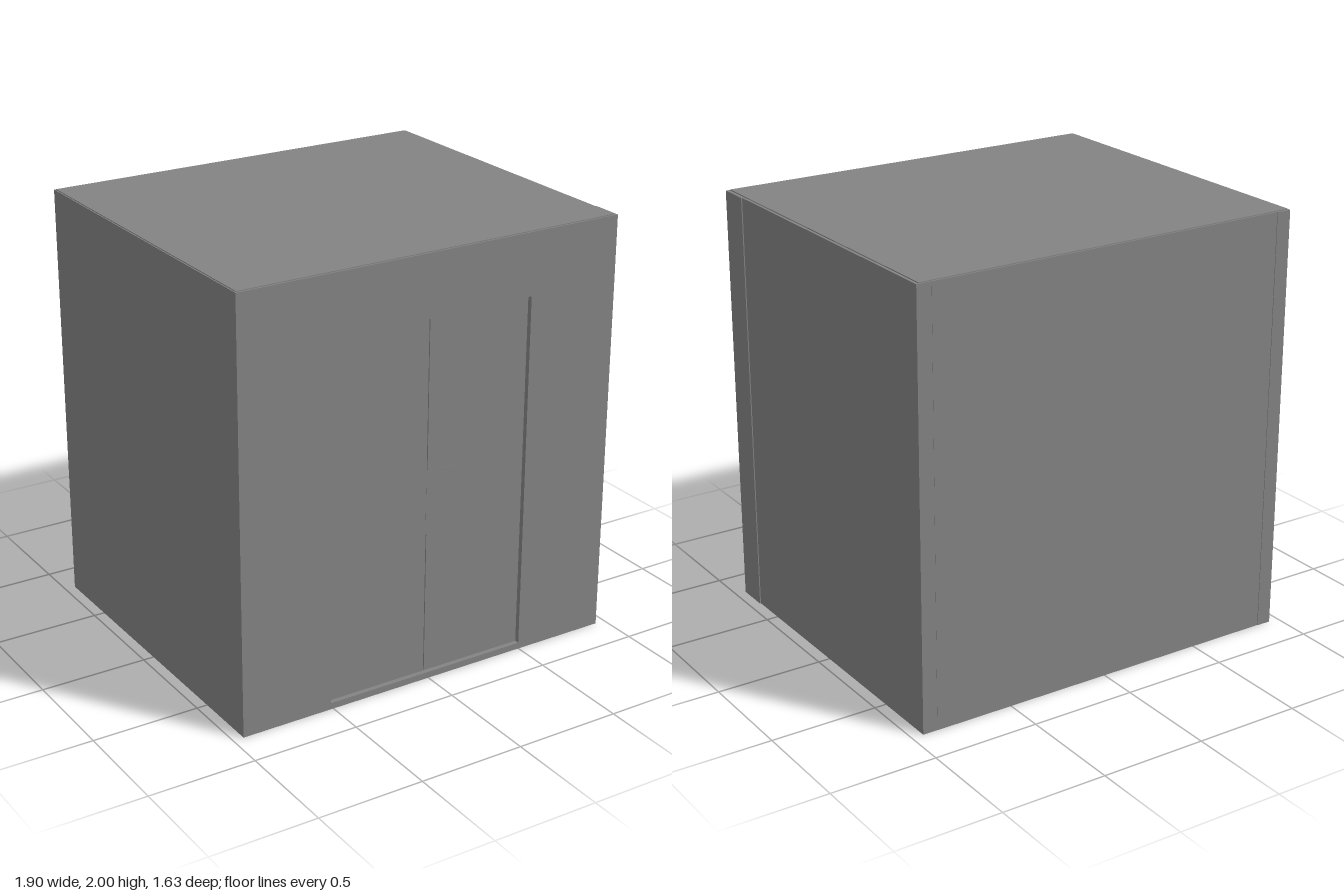
import * as THREE from 'three';

const material = new THREE.MeshStandardMaterial({ color: 0x838383 });

export function createModel() {
  const model = new THREE.Group();
  model.name = 'liftCabin';

  function add(name, geometry) {
    const mesh = new THREE.Mesh(geometry, material);
    mesh.name = name;
    model.add(mesh);
    return mesh;
  }

  // Box given by its lower and upper limits on each axis
  function panel(name, [x0, x1], [y0, y1], [z0, z1]) {
    const mesh = add(name, new THREE.BoxGeometry(x1 - x0, y1 - y0, z1 - z0));
    mesh.position.set((x0 + x1) / 2, (y0 + y1) / 2, (z0 + z1) / 2);
  }

  // Thick front wall with the doorway cut through it
  const wall = new THREE.Shape();
  wall.moveTo(-0.95, 0).lineTo(0.95, 0).lineTo(0.95, 1.996).lineTo(-0.95, 1.996).closePath();
  const doorway = new THREE.Path();
  doorway.moveTo(-0.513, 0.03).lineTo(-0.513, 1.708).lineTo(0.498, 1.708).lineTo(0.498, 0.03).closePath();
  wall.holes.push(doorway);
  const front = new THREE.ExtrudeGeometry(wall, { depth: 0.15, bevelEnabled: false });
  add('frontWall', front).position.z = 0.668;

  // Side and back walls, the left one set in slightly
  panel('rightWall', [-0.95, -0.88], [0, 1.996], [-0.815, 0.668]);
  panel('leftWall', [0.875, 0.945], [0, 1.996], [-0.811, 0.668]);
  panel('backWall', [-0.88, 0.875], [0, 1.996], [-0.812, -0.742]);

  // Floor set up between the walls, and ceiling slab laid over their tops
  panel('floor', [-0.88, 0.875], [0.012, 0.05], [-0.742, 0.668]);
  panel('ceiling', [-0.944, 0.932], [1.93, 2], [-0.805, 0.81]);

  // Two sliding doors recessed in the doorway, with a hairline gap
  panel('rightDoor', [-0.513, -0.014], [0.03, 1.708], [0.74, 0.795]);
  panel('leftDoor', [-0.01, 0.498], [0.03, 1.708], [0.74, 0.795]);

  // Nearly flush plate bridging the gap at hand height
  panel('doorPlate', [-0.015, 0.13], [0.702, 1.003], [0.745, 0.796]);

  return model;
}
